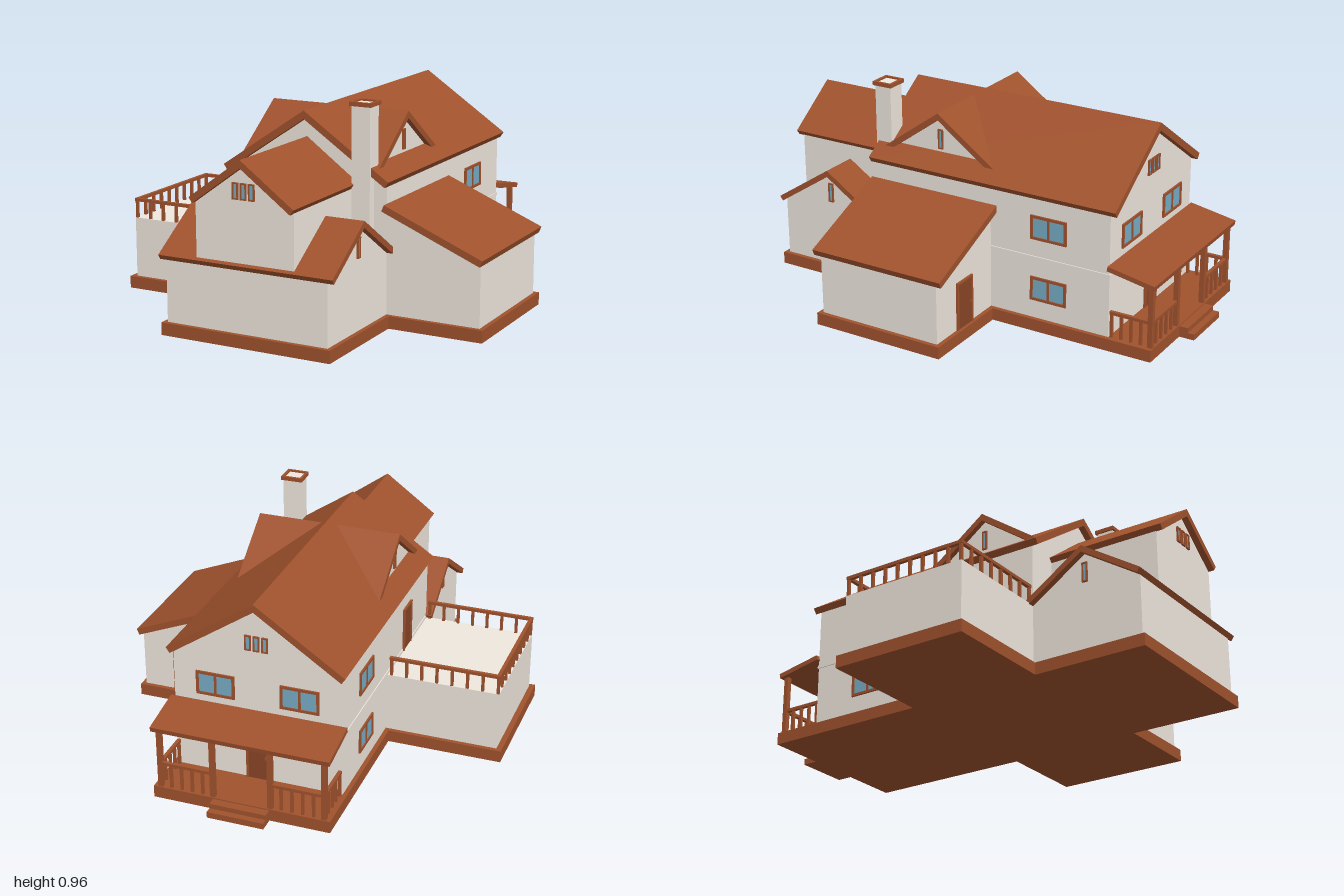
import * as THREE from 'three';

const CX = 0.04; // centre line of the main house
const wallMat = new THREE.MeshStandardMaterial({ color: 0xf0e8df });
const woodMat = new THREE.MeshStandardMaterial({ color: 0xa0522d });
const doorMat = new THREE.MeshStandardMaterial({ color: 0x8a4526 });
const glassMat = new THREE.MeshStandardMaterial({ color: 0x78adc6 });

export function createModel() {
  const house = new THREE.Group();
  house.name = 'house';

  function add(name, geometry, material, parent = house) {
    const mesh = new THREE.Mesh(geometry, material);
    mesh.name = name;
    parent.add(mesh);
    return mesh;
  }

  // Box given by its minimum and maximum corners
  function box(name, x0, x1, y0, y1, z0, z1, material, parent) {
    const g = new THREE.BoxGeometry(x1 - x0, y1 - y0, z1 - z0);
    g.translate((x0 + x1) / 2, (y0 + y1) / 2, (z0 + z1) / 2);
    return add(name, g, material, parent);
  }

  // Prism along z (profile in x,y) or along x (profile in z,y)
  function prism(points, a, b, axis) {
    const shape = new THREE.Shape(points.map(([u, v]) => new THREE.Vector2(u, v)));
    const g = new THREE.ExtrudeGeometry(shape, { depth: b - a, bevelEnabled: false });
    if (axis === 'x') return g.rotateY(-Math.PI / 2).translate(b, 0, 0);
    return g.translate(0, 0, a);
  }

  // Chevron profile with eave ends cut square to the slope
  function chevron(c, half, eave, ridge, t) {
    const run = Math.hypot(half, ridge - eave);
    const dx = t * (ridge - eave) / run, dy = t * half / run;
    const drop = t * run / half;
    return [[c, ridge], [c + half, eave], [c + half - dx, eave - dy], [c, ridge - drop],
      [c - half + dx, eave - dy], [c - half, eave]];
  }

  // Pentagon profile of a gabled wall
  const gable = (c, half, y0, eave, ridge) =>
    [[c - half, y0], [c + half, y0], [c + half, eave], [c, ridge], [c - half, eave]];

  // Sloping slab profile between two upper corners
  function slab([u0, v0], [u1, v1], t) {
    const len = Math.hypot(u1 - u0, v1 - v0);
    const nu = t * (v1 - v0) / len, nv = t * Math.abs(u1 - u0) / len;
    const s = Math.sign(u1 - u0);
    return [[u0, v0], [u1, v1], [u1 + nu * s, v1 - nv], [u0 + nu * s, v0 - nv]];
  }

  // Framed window; its outside faces local +z
  function windowUnit(name, x, y, z, turn, w, h, panes = 1, parent = house) {
    const g = new THREE.Group();
    g.name = name;
    g.position.set(x, y, z);
    g.rotation.y = turn;
    parent.add(g);
    const f = panes > 1 ? 0.012 : 0.006;
    box('glass', -w / 2 + f, w / 2 - f, -h / 2 + f, h / 2 - f, -0.004, 0.003, glassMat, g);
    for (const s of [-1, 1]) {
      const bx = s * (w - f) / 2, by = s * (h - f) / 2;
      box('frameSide', bx - f / 2, bx + f / 2, -h / 2, h / 2, -0.005, 0.008, woodMat, g);
      box('frameRail', -w / 2, w / 2, by - f / 2, by + f / 2, -0.005, 0.008, woodMat, g);
    }
    if (panes > 1) box('mullion', -0.005, 0.005, -h / 2, h / 2, -0.005, 0.007, woodMat, g);
  }

  function tripleWindow(y, z, turn) {
    for (const i of [-1, 0, 1]) windowUnit('gableWindow', CX + i * 0.038, y, z, turn, 0.028, 0.07);
  }

  function door(name, x, z, y, turn, w, h) {
    const g = new THREE.Group();
    g.name = name;
    g.position.set(x, y, z);
    g.rotation.y = turn;
    house.add(g);
    box('leaf', -w / 2, w / 2, 0, h, -0.005, 0.006, doorMat, g);
    for (const s of [-1, 1]) box('jamb', s * w / 2 - 0.005, s * w / 2 + 0.005, 0, h, -0.005, 0.01, woodMat, g);
    box('lintel', -w / 2 - 0.005, w / 2 + 0.005, h, h + 0.01, -0.005, 0.01, woodMat, g);
    box('handle', w / 2 - 0.018, w / 2 - 0.01, h * 0.45, h * 0.5, 0, 0.014, woodMat, g);
  }

  // Row of balusters under a handrail
  function railing(name, x0, z0, x1, z1, y0, y1, n, r = 0.006) {
    const g = new THREE.Group();
    g.name = name;
    house.add(g);
    for (let i = 0; i <= n; i++) {
      const x = x0 + (x1 - x0) * i / n, z = z0 + (z1 - z0) * i / n;
      box('baluster', x - r, x + r, y0, y1 - 0.01, z - r, z + r, woodMat, g);
    }
    const e = r + 0.002;
    box('handrail', Math.min(x0, x1) - e, Math.max(x0, x1) + e, y1 - 0.014, y1,
      Math.min(z0, z1) - e, Math.max(z0, z1) + e, woodMat, g);
  }

  // Plinths and back steps
  box('mainPlinth', -0.36, 0.44, 0, 0.055, -0.93, 0.99, woodMat);
  box('terracePlinth', -0.88, -0.36, 0, 0.055, -0.16, 0.47, woodMat);
  box('sideWingPlinth', 0.44, 0.87, 0, 0.055, -0.16, 0.47, woodMat);
  box('upperStep', -0.09, 0.165, 0, 0.05, -0.97, -0.93, woodMat);
  box('lowerStep', -0.09, 0.165, 0, 0.028, -1, -0.97, woodMat);

  // Main house
  add('mainWalls', prism(gable(CX, 0.38, 0.05, 0.622, 0.875), -0.72, 0.45, 'z'), wallMat);
  add('mainRoof', prism(chevron(CX, 0.4, 0.635, 0.905, 0.03), -0.75, 0.48, 'z'), woodMat);
  box('floorBand', -0.344, 0.424, 0.33, 0.345, -0.724, 0.45, wallMat);

  // Front wing: low cross gable with a taller gable through it
  add('frontWingWalls', prism(gable(0.71, 0.26, 0.05, 0.325, 0.495), -0.34, 0.42, 'x'), wallMat);
  add('frontWingRoof', prism(chevron(0.71, 0.275, 0.345, 0.525, 0.025), -0.37, 0.45, 'x'), woodMat);
  add('frontGableWalls', prism(gable(CX, 0.23, 0.34, 0.595, 0.765), 0.45, 0.971, 'z'), wallMat);
  add('frontGableRoof', prism(chevron(CX, 0.245, 0.612, 0.79, 0.028), 0.45, 1, 'z'), woodMat);
  tripleWindow(0.655, 0.971, 0);
  for (const [x, s] of [[0.42, 1], [-0.34, -1]])
    windowUnit('wingGableWindow', x, 0.41, 0.71, s * Math.PI / 2, 0.026, 0.09);

  // Side wing with a lean-to roof
  add('sideWingWalls', prism([[0.42, 0.05], [0.85, 0.05], [0.85, 0.325], [0.42, 0.51]], -0.14, 0.45, 'z'), wallMat);
  add('sideWingRoof', prism(slab([0.42, 0.537], [0.87, 0.353], 0.03), -0.17, 0.48, 'z'), woodMat);
  door('sideWingDoor', 0.64, -0.14, 0.055, Math.PI, 0.11, 0.21);

  // Terrace
  box('terraceWalls', -0.855, -0.34, 0.05, 0.33, -0.14, 0.45, wallMat);
  railing('terraceBackRailing', -0.848, -0.133, -0.36, -0.133, 0.33, 0.42, 7);
  railing('terraceFrontRailing', -0.848, 0.443, -0.36, 0.443, 0.33, 0.42, 7);
  railing('terraceSideRailing', -0.848, -0.133, -0.848, 0.443, 0.33, 0.42, 9);
  door('terraceDoor', -0.34, 0.14, 0.335, -Math.PI / 2, 0.1, 0.2);

  // Dormers, the second turned half round about the ridge
  for (const turn of [0, Math.PI]) {
    const dormer = new THREE.Group();
    dormer.name = turn ? 'rightDormer' : 'leftDormer';
    dormer.position.set(CX, 0, 0.155);
    dormer.rotation.y = turn;
    house.add(dormer);
    const roof = prism(chevron(0, 0.285, 0.675, 0.88, 0.026), 0, 0.335, 'x');
    const p = roof.attributes.position;
    // Trim the inner end to the slope of the main roof
    for (let i = 0; i < p.count; i++)
      if (p.getX(i) < 0.01) p.setX(i, Math.min(0.325, (0.895 - p.getY(i)) / 0.675));
    roof.computeVertexNormals();
    add('dormerRoof', roof, woodMat, dormer);
    add('dormerWall', prism([[-0.26, 0.675], [0.26, 0.675], [0, 0.857]], 0.285, 0.31, 'x'), wallMat, dormer);
    windowUnit('dormerWindow', 0.31, 0.755, 0, Math.PI / 2, 0.024, 0.09, 1, dormer);
  }

  // Chimney with a rim around its top
  box('chimneyShaft', 0.275, 0.36, 0.3, 0.957, 0.41, 0.49, wallMat);
  for (const s of [-1, 1]) {
    const x = 0.3175 + s * 0.0445, z = 0.45 + s * 0.042;
    box('chimneyRim', x - 0.006, x + 0.006, 0.947, 0.965, 0.402, 0.498, woodMat);
    box('chimneyRim', 0.267, 0.368, 0.947, 0.965, z - 0.006, z + 0.006, woodMat);
  }

  // Back porch
  add('porchRoof', prism(slab([-0.72, 0.39], [-0.94, 0.35], 0.022), -0.36, 0.44, 'x'), woodMat);
  for (const x of [-0.33, -0.09, 0.17, 0.41])
    box('porchPost', x - 0.011, x + 0.011, 0.05, 0.335, -0.925, -0.903, woodMat);
  railing('porchRailing', -0.33, -0.914, -0.09, -0.914, 0.055, 0.175, 5);
  railing('porchRailing', 0.17, -0.914, 0.41, -0.914, 0.055, 0.175, 5);
  for (const x of [-0.33, 0.41]) railing('porchSideRailing', x, -0.73, x, -0.914, 0.055, 0.175, 4);
  door('backDoor', CX, -0.72, 0.055, Math.PI, 0.1, 0.23);

  // Windows of the main house
  tripleWindow(0.71, -0.72, Math.PI);
  for (const s of [-1, 1]) {
    windowUnit('backWindow', CX + s * 0.19, 0.48, -0.72, Math.PI, 0.175, 0.11, 2);
    for (const y of [0.195, 0.48])
      windowUnit('sideWindow', CX + s * 0.38, y, -0.428, s * Math.PI / 2, 0.175, 0.11, 2);
  }
  return house;
}
